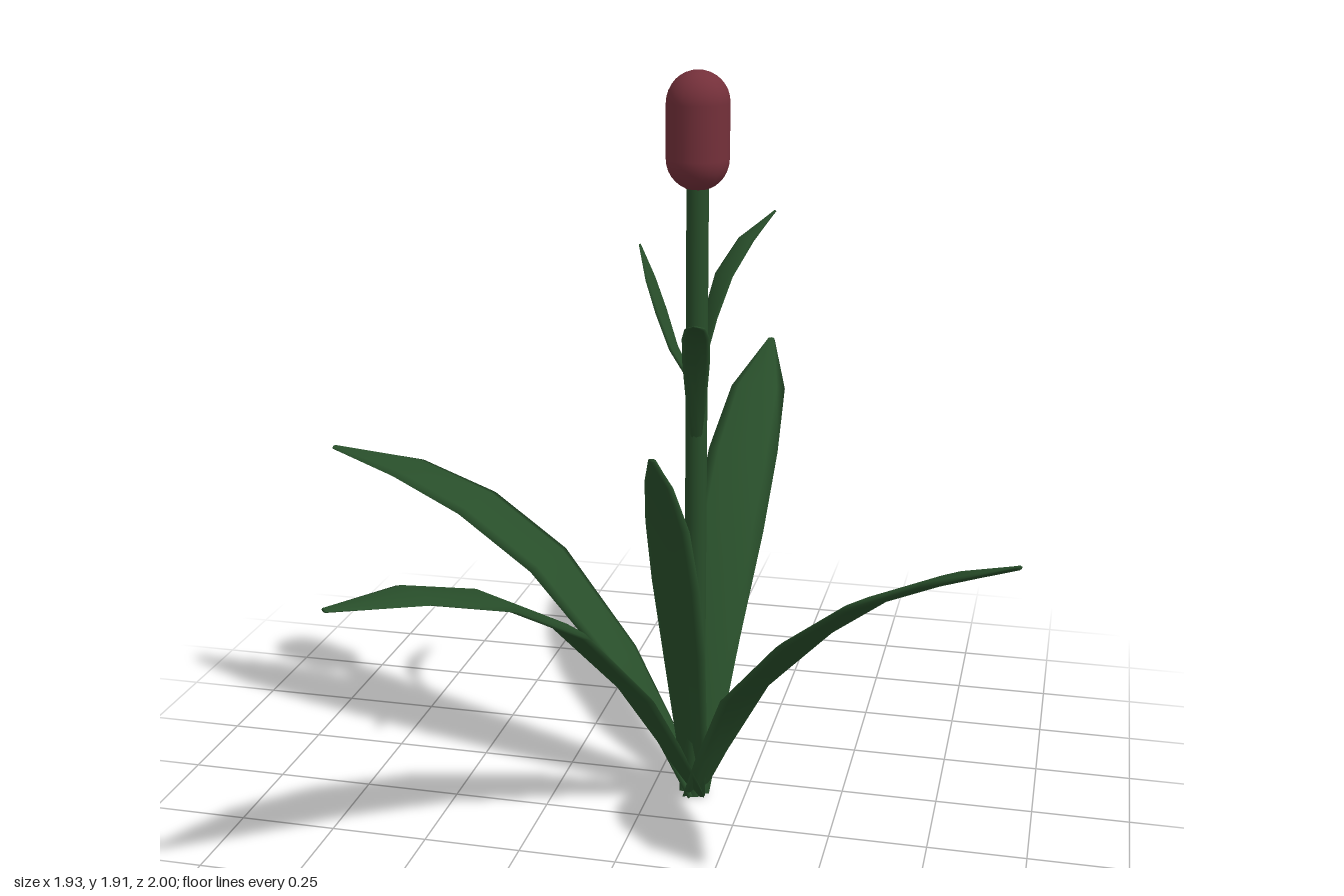
import * as THREE from 'three';

const STEM_X = 0.115, STEM_Z = 0.095;
const SIDES = 8;

// Blade with a flat elliptical section. Profile rows: [reach, height, half width].
function bladeGeometry(profile, dirX, dirZ, thickness) {
  const len = Math.hypot(dirX, dirZ);
  const dx = dirX / len, dz = dirZ / len;
  const points = profile.map(([r, y]) => new THREE.Vector3(STEM_X + dx * r, y, STEM_Z + dz * r));
  const side = new THREE.Vector3(dz, 0, -dx);
  const positions = [], index = [];
  points.forEach((p, i) => {
    const before = points[Math.max(i - 1, 0)];
    const after = points[Math.min(i + 1, points.length - 1)];
    const tangent = after.clone().sub(before).normalize();
    const normal = tangent.cross(side);
    const w = profile[i][2];
    const h = Math.min(thickness, w * 0.5);
    for (let j = 0; j < SIDES; j++) {
      const a = (j / SIDES) * Math.PI * 2;
      const v = p.clone().addScaledVector(side, w * Math.cos(a)).addScaledVector(normal, h * Math.sin(a));
      positions.push(v.x, Math.max(v.y, 0), v.z);
    }
  });
  for (let i = 0; i < points.length - 1; i++) {
    for (let j = 0; j < SIDES; j++) {
      const k = (j + 1) % SIDES;
      const a = i * SIDES + j, b = i * SIDES + k, c = a + SIDES, d = b + SIDES;
      index.push(a, b, c, b, d, c);
    }
  }
  // End caps
  const last = (points.length - 1) * SIDES;
  for (let j = 1; j < SIDES - 1; j++) {
    index.push(0, j + 1, j, last, last + j, last + j + 1);
  }
  const geometry = new THREE.BufferGeometry();
  geometry.setAttribute('position', new THREE.Float32BufferAttribute(positions, 3));
  geometry.setIndex(index);
  geometry.computeVertexNormals();
  return geometry;
}

export function createModel() {
  const group = new THREE.Group();
  const green = new THREE.MeshStandardMaterial({ color: 0x284e2a });
  green.name = 'leafGreen';
  const red = new THREE.MeshStandardMaterial({ color: 0x74303a });
  red.name = 'flowerRed';

  const add = (name, geometry, material) => {
    const mesh = new THREE.Mesh(geometry, material);
    mesh.name = name;
    group.add(mesh);
    return mesh;
  };

  // Stem and flower head
  add('stem', new THREE.CylinderGeometry(0.028, 0.028, 1.66, 12), green).position.set(STEM_X, 0.83, STEM_Z);
  add('flowerHead', new THREE.CapsuleGeometry(0.078, 0.134, 8, 20), red).position.set(STEM_X, 1.767, STEM_Z);

  // Long ground leaves: two rise to the tip, two droop
  const rising = [
    [0, 0, 0.04], [0.07, 0.135, 0.055], [0.205, 0.365, 0.08], [0.435, 0.595, 0.1],
    [0.65, 0.76, 0.1], [0.88, 0.885, 0.08], [1.095, 0.98, 0.01],
  ];
  const drooping = [
    [0, 0, 0.04], [0.09, 0.17, 0.055], [0.21, 0.355, 0.08], [0.43, 0.595, 0.1],
    [0.645, 0.725, 0.1], [0.86, 0.795, 0.08], [1.1, 0.823, 0.01],
  ];
  add('backLeaf', bladeGeometry(rising, 0, -1, 0.011), green);
  add('leftLeaf', bladeGeometry(rising, 0.845, 0.705, 0.011), green);
  add('rightLeaf', bladeGeometry(drooping, -1.075, -0.225, 0.011), green);
  add('frontLeaf', bladeGeometry(drooping, -0.645, 0.9, 0.011), green);

  // Upright inner leaf
  add('uprightLeaf', bladeGeometry([
    [0, 0, 0.035], [0.02, 0.2, 0.055], [0.05, 0.42, 0.07], [0.085, 0.62, 0.077],
    [0.12, 0.79, 0.07], [0.155, 0.91, 0.045], [0.182, 0.98, 0.012],
  ], -0.075, 0.165, 0.011), green);

  // Small leaves on the stem
  add('upperLeaf', bladeGeometry([
    [0.01, 1.17, 0.012], [0.045, 1.3, 0.026], [0.09, 1.4, 0.032],
    [0.165, 1.48, 0.028], [0.265, 1.54, 0.004],
  ], 0.155, -0.215, 0.006), green);
  add('middleLeaf', bladeGeometry([
    [0.02, 1.15, 0.012], [0.065, 1.22, 0.024], [0.1, 1.31, 0.03],
    [0.13, 1.39, 0.026], [0.16, 1.475, 0.004],
  ], -0.155, -0.04, 0.006), green);
  add('lowerLeaf', bladeGeometry([
    [0.02, 1.0, 0.014], [0.055, 1.11, 0.026], [0.105, 1.22, 0.034],
    [0.155, 1.29, 0.034], [0.22, 1.33, 0.026], [0.31, 1.358, 0.004],
  ], 0.06, 0.305, 0.006), green);

  return group;
}
